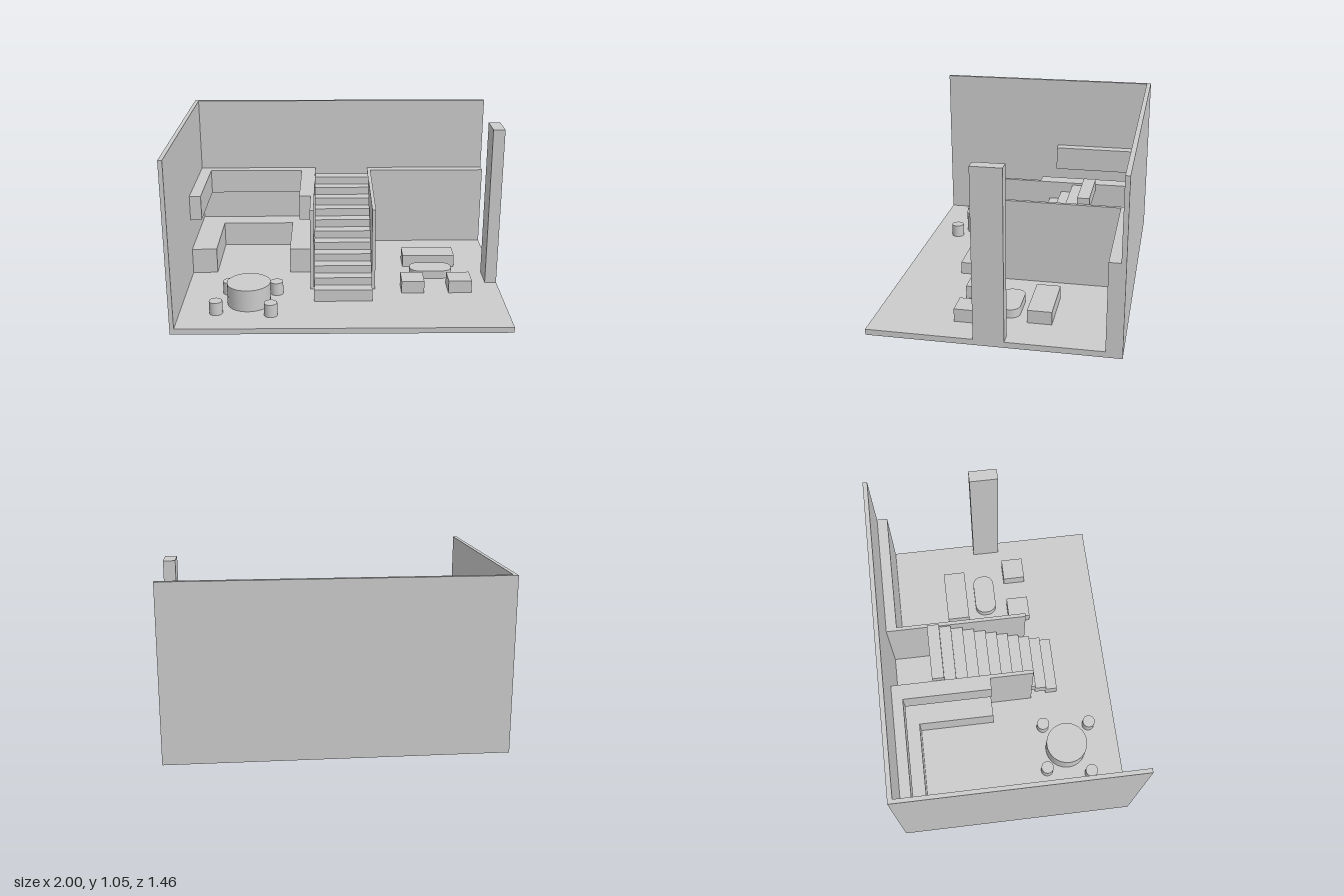
import * as THREE from 'three';

const FLOOR = 0.035;

export function createModel() {
  const model = new THREE.Group();
  model.name = 'room';
  const mat = new THREE.MeshStandardMaterial({ color: 0xcccccc });

  const add = (name, geo, x, y, z) => {
    const mesh = new THREE.Mesh(geo, mat);
    mesh.name = name;
    mesh.position.set(x, y, z);
    model.add(mesh);
    return mesh;
  };
  // Box given by its extents on each axis
  const box = (name, [x0, x1], [y0, y1], [z0, z1]) =>
    add(name, new THREE.BoxGeometry(x1 - x0, y1 - y0, z1 - z0),
      (x0 + x1) / 2, (y0 + y1) / 2, (z0 + z1) / 2);
  // Upright cylinder standing on the floor
  const drum = (name, r, top, x, z) =>
    add(name, new THREE.CylinderGeometry(r, r, top - FLOOR, 32), x, (FLOOR + top) / 2, z);
  // U-shaped run of units, extruded upward from a plan outline
  const plan = (name, points, y0, y1) => {
    const shape = new THREE.Shape(points.map(([x, z]) => new THREE.Vector2(x, -z)));
    const geo = new THREE.ExtrudeGeometry(shape, { depth: y1 - y0, bevelEnabled: false });
    geo.rotateX(-Math.PI / 2);
    return add(name, geo, 0, y0, 0);
  };

  // Shell
  box('floor', [-1, 1], [0, FLOOR], [-0.73, 0.73]);
  box('backWall', [-1, 1], [FLOOR, 1.05], [-0.73, -0.702]);
  box('sideWall', [-1, -0.975], [FLOOR, 1.05], [-0.702, 0.73]);
  box('column', [0.927, 1], [FLOOR, 1.05], [-0.075, 0.103]);
  box('backLedge', [0.214, 1], [FLOOR, 0.567], [-0.702, -0.635]);

  // Partitions on both sides of the stairs
  box('leftPartition', [-0.195, -0.172], [FLOOR, 0.567], [-0.702, 0.193]);
  box('rightPartition', [0.192, 0.214], [FLOOR, 0.567], [-0.702, 0.193]);

  // Kitchen units: inner edge of the U differs between counter and cabinets
  const uOutline = (xl, xr, zBack) => [
    [-0.975, -0.08], [xl, -0.08], [xl, zBack], [xr, zBack],
    [xr, -0.08], [-0.195, -0.08], [-0.195, -0.702], [-0.975, -0.702],
  ];
  plan('counter', uOutline(-0.815, -0.335, -0.567), FLOOR, 0.2);
  plan('wallCabinets', uOutline(-0.902, -0.268, -0.635), 0.407, 0.567);

  // Open staircase of overlapping blocks
  for (let i = 0; i < 11; i++) {
    const top = 0.111 + i * 0.0493;
    const front = 0.371 - i * 0.0736;
    box('stairStep', [-0.169, 0.189], [top - 0.076, top], [front - 0.076, front]);
  }

  // Dining set
  drum('roundTable', 0.133, 0.172, -0.567, 0.378);
  for (const [x, z] of [[-0.702, 0.235], [-0.405, 0.245], [-0.755, 0.52], [-0.425, 0.55]])
    drum('stool', 0.04, 0.115, x, z);

  // Lounge set
  box('sofa', [0.415, 0.758], [FLOOR, 0.115], [-0.305, -0.16]);
  box('leftArmchair', [0.673, 0.818], [FLOOR, 0.115], [0.113, 0.257]);
  box('rightArmchair', [0.378, 0.52], [FLOOR, 0.115], [0.113, 0.257]);

  // Coffee table with rounded corners
  const hw = 0.136, hd = 0.07, r = 0.06;
  const top = new THREE.Shape();
  top.absarc(hw - r, hd - r, r, 0, Math.PI / 2);
  top.absarc(r - hw, hd - r, r, Math.PI / 2, Math.PI);
  top.absarc(r - hw, r - hd, r, Math.PI, Math.PI * 1.5);
  top.absarc(hw - r, r - hd, r, Math.PI * 1.5, Math.PI * 2);
  const tableGeo = new THREE.ExtrudeGeometry(top, { depth: 0.053, bevelEnabled: false, curveSegments: 6 });
  tableGeo.rotateX(-Math.PI / 2);
  add('coffeeTable', tableGeo, 0.586, FLOOR, -0.035);

  return model;
}
